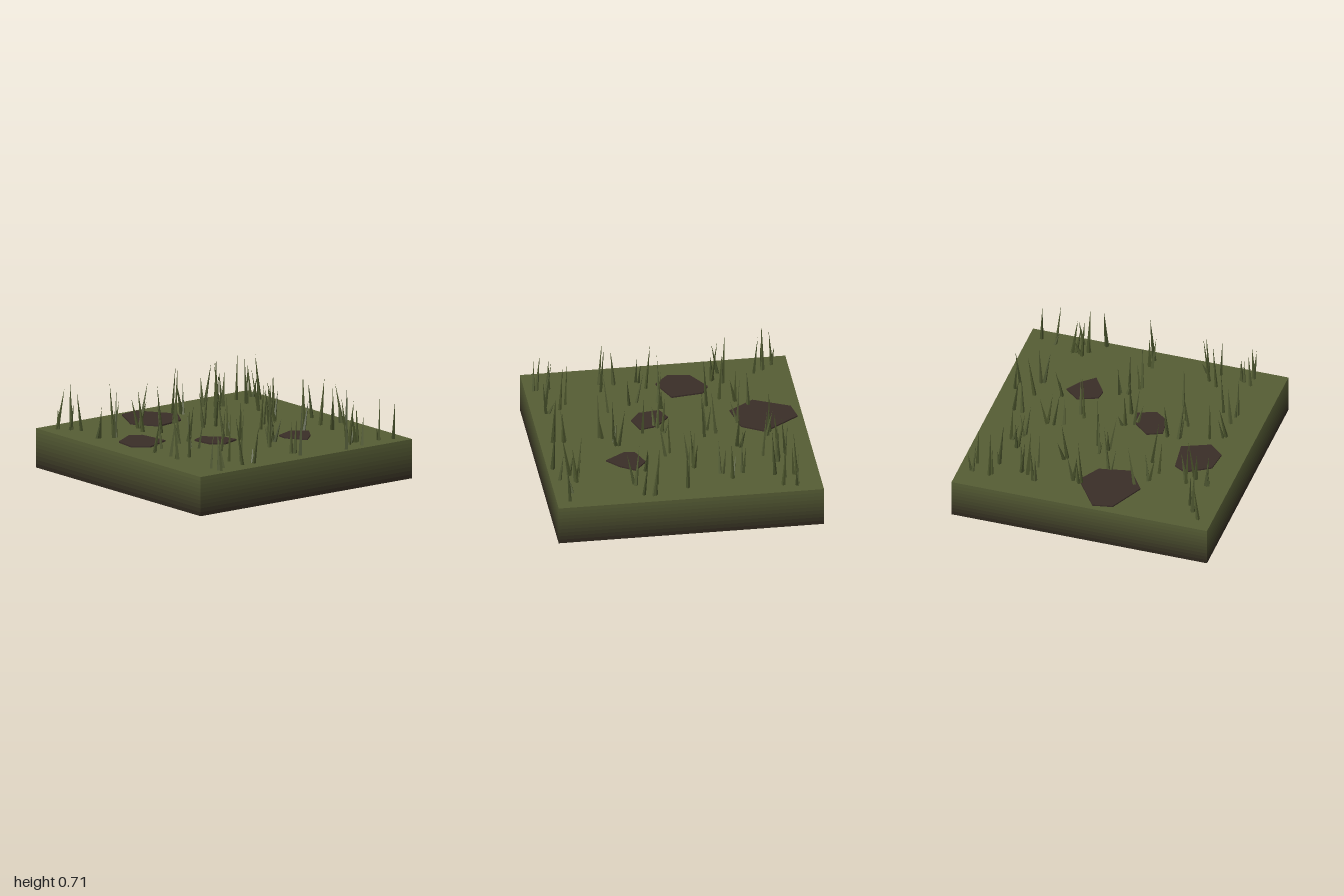
import * as THREE from 'three';

const TOP = 0.3;

// small seeded generator, so every build is the same
function seeded(seed) {
  return () => {
    seed = (seed * 1664525 + 1013904223) % 4294967296;
    return seed / 4294967296;
  };
}

const paint = (color) => new THREE.MeshStandardMaterial({ color, flatShading: true });

function add(parent, name, geometry, material) {
  const mesh = new THREE.Mesh(geometry, material);
  mesh.name = name;
  parent.add(mesh);
  return mesh;
}

// square block of earth, its sides fading from grass green to dark soil
function makeBlock() {
  const block = new THREE.Group();
  block.name = 'groundBlock';
  const grass = new THREE.Color(0x555c34), soil = new THREE.Color(0x2a211b);
  const bands = 10, h = TOP / bands;
  for (let i = 0; i < bands; i++) {
    const side = new THREE.CylinderGeometry(Math.SQRT2, Math.SQRT2, h, 4, 1, true);
    side.rotateY(Math.PI / 4).translate(0, (i + 0.5) * h, 0);
    const color = soil.clone().lerp(grass, (i + 0.5) / bands);
    add(block, 'sideBand', side, paint(color));
  }
  const lid = new THREE.PlaneGeometry(2, 2).rotateX(-Math.PI / 2).translate(0, TOP, 0);
  add(block, 'grassTop', lid, paint(grass));
  add(block, 'soilBottom', new THREE.PlaneGeometry(2, 2).rotateX(Math.PI / 2), paint(0x1a1510));
  return block;
}

// thin six-cornered slab of bare dirt, corners given as x, z
function dirtGeometry(corners) {
  const shape = new THREE.Shape(corners.map(([x, z]) => new THREE.Vector2(x, z)));
  const slab = new THREE.ExtrudeGeometry(shape, { depth: 0.02, bevelEnabled: false });
  return slab.rotateX(Math.PI / 2).translate(0, TOP + 0.011, 0);
}

const DIRT = [
  [[-0.96, 0.09], [-0.69, -0.1], [-0.52, 0], [-0.47, 0.24], [-0.66, 0.37], [-0.93, 0.24]],
  [[0.35, -0.53], [0.46, -0.46], [0.55, -0.36], [0.4, -0.26], [0.32, -0.27], [0.26, -0.42]],
  [[0.1, 0.09], [0.23, 0.06], [0.28, 0.2], [0.21, 0.3], [0.05, 0.32], [0, 0.21]],
  [[-0.31, 0.53], [-0.07, 0.5], [0.02, 0.71], [-0.08, 0.82], [-0.25, 0.8], [-0.36, 0.62]],
];

// where grass grows, as x, z
const SPOTS = [
  [-.82, -.89], [-.71, -.89], [-.83, -.76], [-.74, -.78], [-.67, -.73], [-.43, -.66], [-.35, -.74],
  [-.29, -.66], [0, -.83], [-.01, -.76], [.27, -.91], [.34, -.89], [.22, -.74], [.38, -.74],
  [.9, -.9], [.88, -.78], [.81, -.63], [.93, -.58], [.79, -.55], [.85, -.52], [.96, -.41],
  [-.71, -.54], [-.73, -.49], [-.79, -.43], [-.62, -.44], [-.45, -.27], [-.08, -.54], [-.09, -.49],
  [-.06, -.42], [.28, -.54], [.06, -.3], [.1, -.34], [-.69, -.15], [-.72, -.07], [-.23, -.1],
  [-.32, -.06], [-.25, 0], [.07, .02], [.1, .08], [.22, .02], [.42, -.14], [.45, -.07], [.55, 0],
  [.82, -.03], [.9, -.02], [-.5, .07], [-.62, .31], [-.53, .4], [-.42, .44], [-.31, .35],
  [.04, .36], [.03, .45], [.2, .47], [.26, .44], [.43, .36], [.78, .45], [.89, .41], [.73, .52],
  [.88, .51], [-.48, .67], [-.4, .71], [-.46, .82], [-.73, .78], [-.8, .82], [-.88, .89],
  [.1, .67], [.16, .78], [.44, .67], [.33, .76], [.44, .78], [.86, .68], [.82, .76], [.91, .76],
];

// slim four-sided spike whose tip is pushed sideways
function bladeGeometry(radius, height, leanX, leanZ, turn) {
  const blade = new THREE.ConeGeometry(radius, height, 4);
  blade.rotateY(turn).translate(0, height / 2, 0);
  const p = blade.attributes.position;
  for (let i = 0; i < p.count; i++) {
    const t = p.getY(i) / height;
    p.setXYZ(i, p.getX(i) + leanX * t, p.getY(i), p.getZ(i) + leanZ * t);
  }
  return blade;
}

function makeGrass() {
  const grass = new THREE.Group();
  grass.name = 'grass';
  const rnd = seeded(11);
  const greens = [0x4a532b, 0x434c28, 0x525b33].map(paint);

  const plant = (x, z, height) => {
    const angle = rnd() * Math.PI * 2, lean = 0.01 + 0.05 * rnd();
    const geometry = bladeGeometry(0.012 + 0.006 * rnd(), height,
      Math.cos(angle) * lean, Math.sin(angle) * lean, rnd() * 3);
    const blade = add(grass, 'grassBlade', geometry, greens[Math.floor(rnd() * 3)]);
    blade.position.set(x, TOP, z);
  };

  for (const [x, z] of SPOTS) {
    plant(x, z, 0.22 + 0.19 * rnd());
    // a shorter neighbour beside most blades
    if (rnd() < 0.6) {
      plant(x + 0.05 * (rnd() - 0.5), z + 0.05 * (rnd() - 0.5), 0.1 + 0.18 * rnd());
    }
  }
  return grass;
}

export function createModel() {
  const model = new THREE.Group();
  model.name = 'grassTile';
  model.add(makeBlock());
  const dirt = paint(0x392d27);
  for (const corners of DIRT) add(model, 'dirtPatch', dirtGeometry(corners), dirt);
  model.add(makeGrass());
  return model;
}
